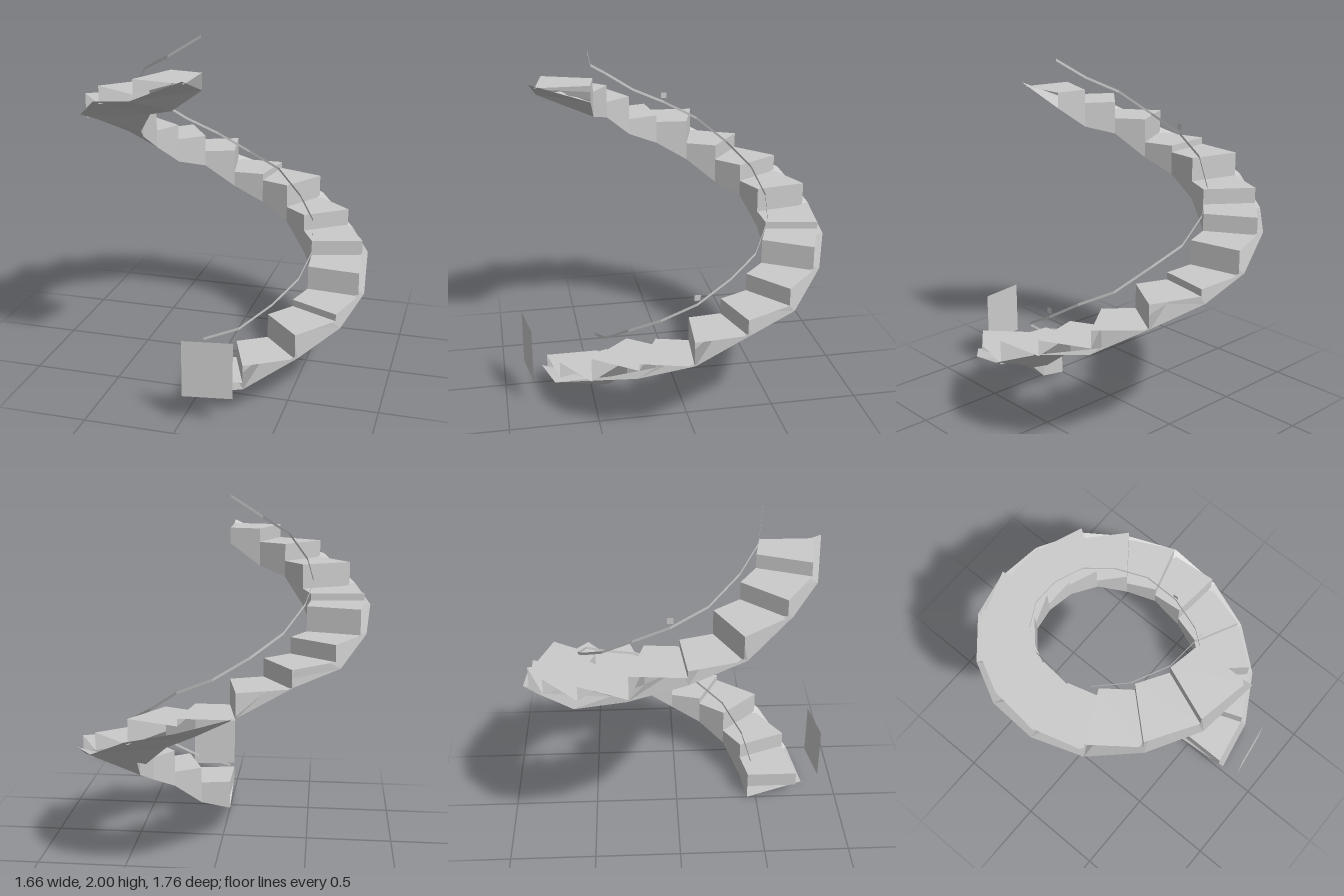
import * as THREE from 'three';

const STEPS = 17, CZ = -0.055;
const R_IN = 0.5, R_TREAD = 0.803, R_OUT = 0.836, R_RAIL = 0.512;

// Tread heights, and height of the soffit's outer edge at every step line
const tread = [0.18, 0.28, 0.42, 0.46, 0.6, 0.69, 0.79, 0.93, 0.97, 1.11, 1.21, 1.3, 1.44, 1.48, 1.62, 1.72, 1.8];
const edge = [0.115, 0.16, 0.3, 0.39, 0.48, 0.62, 0.67, 0.81, 0.9, 0.99, 1.13, 1.18, 1.31, 1.42, 1.5, 1.64, 1.69, 1.82];
const soffitDrop = 0.113;
const railY = [0.29, 0.36, 0.48, 0.58, 0.68, 0.8, 0.89, 1.02, 1.105, 1.22, 1.33, 1.46, 1.56, 1.655, 1.78, 1.87, 1.99];

const polar = (r, y, t) => [r * Math.sin(t), y, CZ + r * Math.cos(t)];

// One mesh from a list of four-cornered faces
function quadMesh(name, quads) {
  const pos = [];
  for (const [a, b, c, d] of quads) pos.push(...a, ...b, ...c, ...a, ...c, ...d);
  const geo = new THREE.BufferGeometry();
  geo.setAttribute('position', new THREE.Float32BufferAttribute(pos, 3));
  geo.computeVertexNormals();
  const mat = new THREE.MeshStandardMaterial({ color: 0xcccccc, flatShading: true, side: THREE.DoubleSide });
  const mesh = new THREE.Mesh(geo, mat);
  mesh.name = name;
  return mesh;
}

export function createModel() {
  const group = new THREE.Group();
  group.name = 'spiralStaircase';

  const treads = [], risers = [], innerWall = [], soffit = [];
  for (let k = 0; k < STEPS; k++) {
    const t0 = (k / STEPS) * Math.PI * 2, t1 = ((k + 1) / STEPS) * Math.PI * 2;
    const y = tread[k], below = k ? tread[k - 1] : 0.09;
    const low0 = edge[k] - soffitDrop, low1 = edge[k + 1] - soffitDrop;
    treads.push([polar(R_IN, y, t0), polar(R_TREAD, y, t0), polar(R_TREAD, y, t1), polar(R_IN, y, t1)]);
    risers.push([polar(R_IN, below, t0), polar(R_TREAD, below, t0), polar(R_TREAD, y, t0), polar(R_IN, y, t0)]);
    innerWall.push([polar(R_IN, low1, t1), polar(R_IN, low0, t0), polar(R_IN, y, t0), polar(R_IN, y, t1)]);
    soffit.push([polar(R_IN, low1, t1), polar(R_OUT, edge[k + 1], t1), polar(R_OUT, edge[k], t0), polar(R_IN, low0, t0)]);
  }
  group.add(quadMesh('treads', treads), quadMesh('risers', risers));
  group.add(quadMesh('innerWall', innerWall), quadMesh('soffit', soffit));

  // Handrail: a thin upright ribbon winding along the inner side
  const rail = [], n = railY.length - 1, h = 0.008;
  for (let j = 0; j < n; j++) {
    const t0 = (j / n) * Math.PI * 2, t1 = ((j + 1) / n) * Math.PI * 2;
    const y0 = railY[j], y1 = railY[j + 1];
    rail.push([polar(R_RAIL, y1 - h, t1), polar(R_RAIL, y0 - h, t0), polar(R_RAIL, y0 + h, t0), polar(R_RAIL, y1 + h, t1)]);
  }
  group.add(quadMesh('handrail', rail));

  // Small square plates on the two sides of the rail
  for (const [name, x, y] of [['leftPlate', R_RAIL, 0.72], ['rightPlate', -R_RAIL, 1.6]]) {
    const s = 0.017;
    group.add(quadMesh(name, [[[x, y - s, CZ + s], [x, y - s, CZ - s], [x, y + s, CZ - s], [x, y + s, CZ + s]]]));
  }

  // Free-standing panel before the first steps
  group.add(quadMesh('frontPanel', [[[0.01, 0.16, 0.884], [0.277, 0.16, 0.843], [0.277, 0.48, 0.843], [0.01, 0.48, 0.884]]]));

  return group;
}
